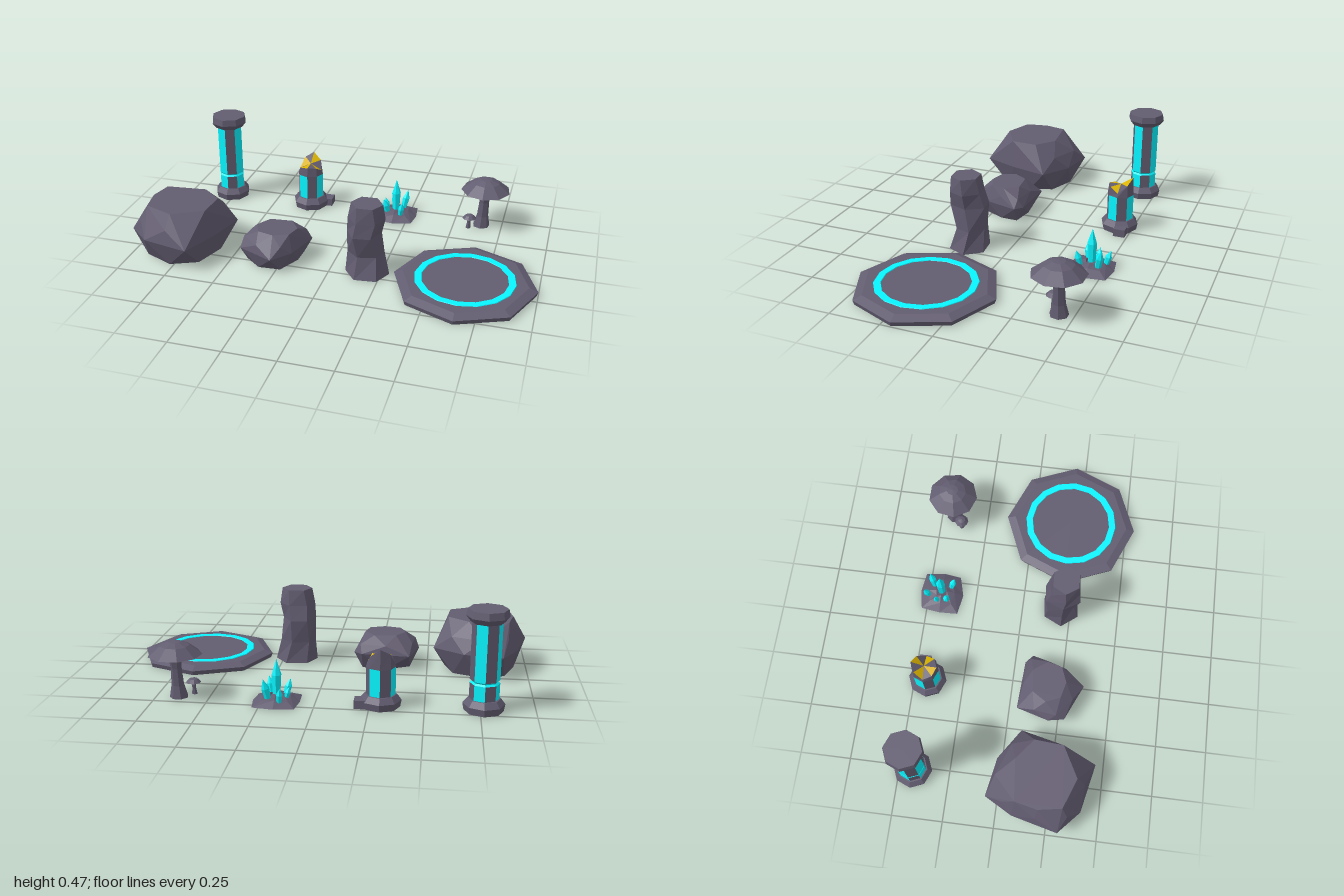
import * as THREE from 'three';
import { ConvexGeometry } from 'three/addons/geometries/ConvexGeometry.js';

const mat = (color) => new THREE.MeshStandardMaterial({ color, flatShading: true });
const ROCK = mat(0x625c70), GLOW = mat(0x08f5ff), GOLD = mat(0xdcb400);

function add(parent, name, geometry, material, x = 0, y = 0, z = 0) {
  const mesh = new THREE.Mesh(geometry, material);
  mesh.name = name;
  mesh.position.set(x, y, z);
  parent.add(mesh);
  return mesh;
}

function group(parent, name, x, z) {
  const g = new THREE.Group();
  g.name = name;
  g.position.set(x, 0, z);
  parent.add(g);
  return g;
}

// Profile of [radius, height] pairs, running upward on the outside
const lathe = (profile, sides, start = 0, length = Math.PI * 2) =>
  new THREE.LatheGeometry(profile.map(([r, y]) => new THREE.Vector2(r, y)), sides, start, length);

// Closed skin over rings of equal point count, each turning from +z towards +x
function loft(rings) {
  const n = rings[0].length, pos = rings.flat(2), index = [];
  for (let r = 0; r < rings.length - 1; r++) {
    for (let i = 0; i < n; i++) {
      const a = r * n + i, b = r * n + (i + 1) % n;
      index.push(a, b, b + n, a, b + n, a + n);
    }
  }
  const top = (rings.length - 1) * n;
  for (let i = 1; i < n - 1; i++) index.push(0, i + 1, i, top, top + i, top + i + 1);
  const g = new THREE.BufferGeometry();
  g.setAttribute('position', new THREE.Float32BufferAttribute(pos, 3));
  g.setIndex(index);
  return g;
}

// Boulder: wide middle outline, flat top outline; shoulder and base points sit between the middle corners
function boulder(parent, name, cx, cz, midY, topY, mid, top) {
  const pts = [];
  const scaled = (x, y, z, s) => pts.push(new THREE.Vector3(cx + (x - cx) * s, y, cz + (z - cz) * s));
  mid.forEach(([x, z], i) => {
    const [nx, nz] = mid[(i + 1) % mid.length];
    const mx = (x + nx) / 2, mz = (z + nz) / 2;
    scaled(x, midY, z, 1);
    scaled(mx, midY + (topY - midY) * 0.5, mz, 0.92);
    scaled(mx, 0, mz, 0.84);
  });
  top.forEach(([x, z]) => scaled(x, topY, z, 1));
  add(parent, name, new ConvexGeometry(pts), ROCK);
}

// Eight flat column faces, alternately stone and glowing
function columnFaces(parent, y0, y1, r) {
  for (let k = 0; k < 8; k++) {
    add(parent, k % 2 ? 'glowPanel' : 'stonePanel',
      lathe([[r, y0], [r, y1]], 1, k * Math.PI / 4, Math.PI / 4), k % 2 ? GLOW : ROCK);
  }
}

const pillarBase = [[0, 0], [0.09, 0], [0.096, 0.033], [0.075, 0.06], [0, 0.06]];

function tallPillar(parent) {
  const g = group(parent, 'tallPillar', -0.765, -0.43);
  add(g, 'pillarBase', lathe(pillarBase, 8), ROCK);
  add(g, 'pillarCap', lathe(pillarBase.map(([r, y]) => [r, 0.475 - y]).reverse(), 8), ROCK);
  columnFaces(g, 0.06, 0.132, 0.068);
  columnFaces(g, 0.148, 0.416, 0.068);
  add(g, 'glowSeam', lathe([[0.068, 0.132], [0.06, 0.14], [0.068, 0.148]], 8), GLOW);
}

function brokenPillar(parent) {
  const g = group(parent, 'brokenPillar', -0.3, -0.43);
  add(g, 'pillarBase', lathe(pillarBase, 8), ROCK);
  columnFaces(g, 0.06, 0.19, 0.068);
  // Jagged rim with facets running into the middle
  const heights = [0.24, 0.235, 0.21, 0.25, 0.285, 0.26, 0.21, 0.23];
  const rim = (k, r, y) => [r * Math.sin(k * Math.PI / 4), y, r * Math.cos(k * Math.PI / 4)];
  const wall = [], stone = [], gold = [];
  for (let k = 0; k < 8; k++) {
    const a = rim(k, 0.068, 0.19), b = rim(k + 1, 0.068, 0.19);
    const c = rim(k + 1, 0.062, heights[(k + 1) % 8]), d = rim(k, 0.062, heights[k]);
    wall.push(...a, ...b, ...c, ...a, ...c, ...d);
    (k % 2 ? gold : stone).push(...d, ...c, 0, 0.242, 0);
  }
  [['brokenRim', wall, ROCK], ['stoneFracture', stone, ROCK], ['goldFracture', gold, GOLD]].forEach(([name, p, m]) => {
    const geo = new THREE.BufferGeometry();
    geo.setAttribute('position', new THREE.Float32BufferAttribute(p, 3));
    geo.computeVertexNormals();
    add(g, name, geo, m);
  });
  add(g, 'fallenBlock', new THREE.BoxGeometry(0.06, 0.04, 0.06), ROCK, 0.088, 0.02, -0.03);
}

function standingStone(parent) {
  // [height, centre x, centre z, radius x, radius z, twist]
  const levels = [
    [0, 0.182, 0.2, 0.108, 0.1, 0.1], [0.11, 0.172, 0.19, 0.09, 0.078, 0.25],
    [0.225, 0.166, 0.203, 0.084, 0.1, 0.1], [0.3, 0.178, 0.21, 0.09, 0.085, 0.15],
    [0.378, 0.18, 0.213, 0.077, 0.073, 0.05]];
  const rings = levels.map(([y, cx, cz, rx, rz, t]) => Array.from({ length: 6 }, (_, i) => {
    const a = i * Math.PI / 3 + t + Math.PI / 6;
    return [cx + rx * Math.sin(a), y, cz + rz * Math.cos(a)];
  }));
  add(parent, 'standingStone', loft(rings), ROCK);
}

function platform(parent) {
  const g = group(parent, 'platform', 0.657, 0.2);
  add(g, 'platformSlab', lathe([[0, 0], [0.336, 0], [0.343, 0.022], [0.3, 0.039], [0, 0.039]], 8), ROCK);
  add(g, 'glowRing', lathe([[0.243, 0.037], [0.24, 0.042], [0.208, 0.042], [0.205, 0.037]], 16), GLOW);
}

function crystalCluster(parent) {
  const g = group(parent, 'crystalCluster', 0.18, -0.432);
  const outline = [[0.1, 0.085], [0.112, 0], [0.1, -0.098], [0, -0.112], [-0.095, -0.095],
    [-0.108, 0], [-0.105, 0.095], [0, 0.112]];
  const ring = (s, y) => outline.map(([x, z], i) => [x * s, y * (1 + 0.25 * (i % 2)), z * s]);
  add(g, 'crystalMound', loft([ring(1, 0), ring(0.6, 0.022), ring(0.25, 0.032)]), ROCK);
  // [x, z, height, radius, lean]
  [[0, 0, 0.2, 0.024, 0.06], [0.03, -0.036, 0.125, 0.019, 0.28], [-0.036, 0.024, 0.1, 0.018, 0.28],
    [0.03, 0.042, 0.1, 0.017, 0.28], [-0.02, -0.06, 0.09, 0.016, 0.3], [-0.042, -0.015, 0.08, 0.014, 0.3]]
    .forEach(([x, z, h, r, lean]) => {
      const shard = lathe([[r * 0.7, 0], [r, h * 0.62], [0, h]], 6);
      const c = add(g, 'crystal', shard, GLOW, x, 0.005, z);
      const d = Math.hypot(x, z) || 1;
      c.rotation.set(z / d * lean, 0, -x / d * lean);
    });
}

function mushroom(parent, name, x, z, cap, gills, stem, bend) {
  const g = group(parent, name, x, z);
  add(g, 'mushroomCap', lathe(cap, 9), ROCK);
  add(g, 'mushroomGills', lathe(gills, 9), GOLD);
  const rings = stem.map(([r, y], j) => Array.from({ length: 7 }, (_, i) => {
    const a = i * Math.PI * 2 / 7;
    return [r * Math.sin(a) - bend * (1 - j / (stem.length - 1)), y, r * Math.cos(a)];
  }));
  add(g, 'mushroomStem', loft(rings), ROCK);
}

export function createModel() {
  const model = new THREE.Group();
  model.name = 'ruinsSet';

  boulder(model, 'largeBoulder', -0.765, 0.2, 0.123, 0.267,
    [[-0.87, -0.055], [-0.68, -0.02], [-0.53, 0.08], [-0.58, 0.27], [-0.655, 0.455], [-0.89, 0.405], [-1, 0.305], [-0.945, 0.08]],
    [[-0.9, 0.09], [-0.7, 0.07], [-0.6, 0.15], [-0.61, 0.29], [-0.76, 0.37], [-0.905, 0.315], [-0.925, 0.2]]);
  boulder(model, 'smallBoulder', -0.295, 0.2, 0.082, 0.17,
    [[-0.41, 0.04], [-0.17, 0.055], [-0.13, 0.09], [-0.18, 0.265], [-0.26, 0.36], [-0.44, 0.28], [-0.455, 0.2]],
    [[-0.34, 0.11], [-0.23, 0.1], [-0.18, 0.17], [-0.2, 0.24], [-0.275, 0.27], [-0.355, 0.25], [-0.385, 0.18]]);

  standingStone(model);
  platform(model);
  tallPillar(model);
  brokenPillar(model);
  crystalCluster(model);

  mushroom(model, 'largeMushroom', 0.655, -0.432,
    [[0.127, 0.208], [0.07, 0.253], [0.03, 0.269], [0, 0.272]],
    [[0, 0.203], [0.09, 0.205], [0.127, 0.208]],
    [[0.044, 0], [0.03, 0.06], [0.026, 0.14], [0.034, 0.21]], 0.012);
  mushroom(model, 'smallMushroom', 0.585, -0.385,
    [[0.036, 0.058], [0.02, 0.074], [0, 0.08]],
    [[0, 0.056], [0.036, 0.058]],
    [[0.013, 0], [0.009, 0.03], [0.01, 0.058]], 0.004);
  return model;
}
